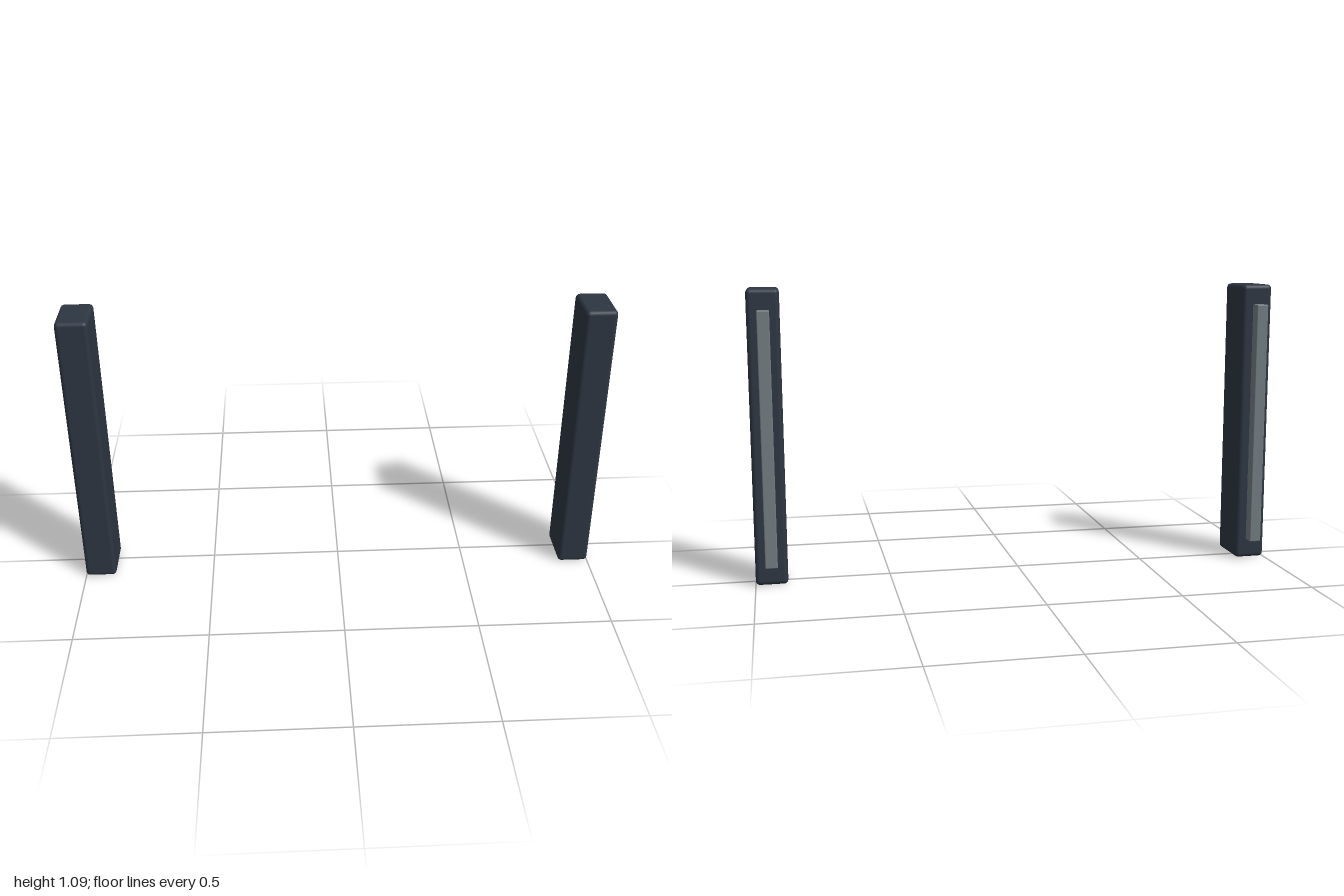
import * as THREE from 'three';
import { RoundedBoxGeometry } from 'three/addons/geometries/RoundedBoxGeometry.js';

const charcoal = new THREE.MeshStandardMaterial({ color: 0x2d3642 });
charcoal.name = 'charcoal';
const steelGrey = new THREE.MeshStandardMaterial({ color: 0x727d82 });
steelGrey.name = 'steel grey';

// Rounded block placed by its centre
function block(name, size, radius, position, material) {
  const mesh = new THREE.Mesh(new RoundedBoxGeometry(...size, 3, radius), material);
  mesh.name = name;
  mesh.position.set(...position);
  return mesh;
}

export function createModel() {
  const model = new THREE.Group();
  model.name = 'postPair';

  for (const [side, sign] of [['left', 1], ['right', -1]]) {
    const unit = new THREE.Group();
    unit.name = side + 'Unit';
    unit.position.x = sign * 0.941;
    // Upright post with softened edges
    unit.add(block('post', [0.118, 1.09, 0.182], 0.016, [0, 0.545, 0.026], charcoal));
    // Slim rail standing just behind the post
    unit.add(block('rearRail', [0.045, 0.938, 0.045], 0.004, [0, 0.546, -0.0945], steelGrey));
    model.add(unit);
  }
  return model;
}
